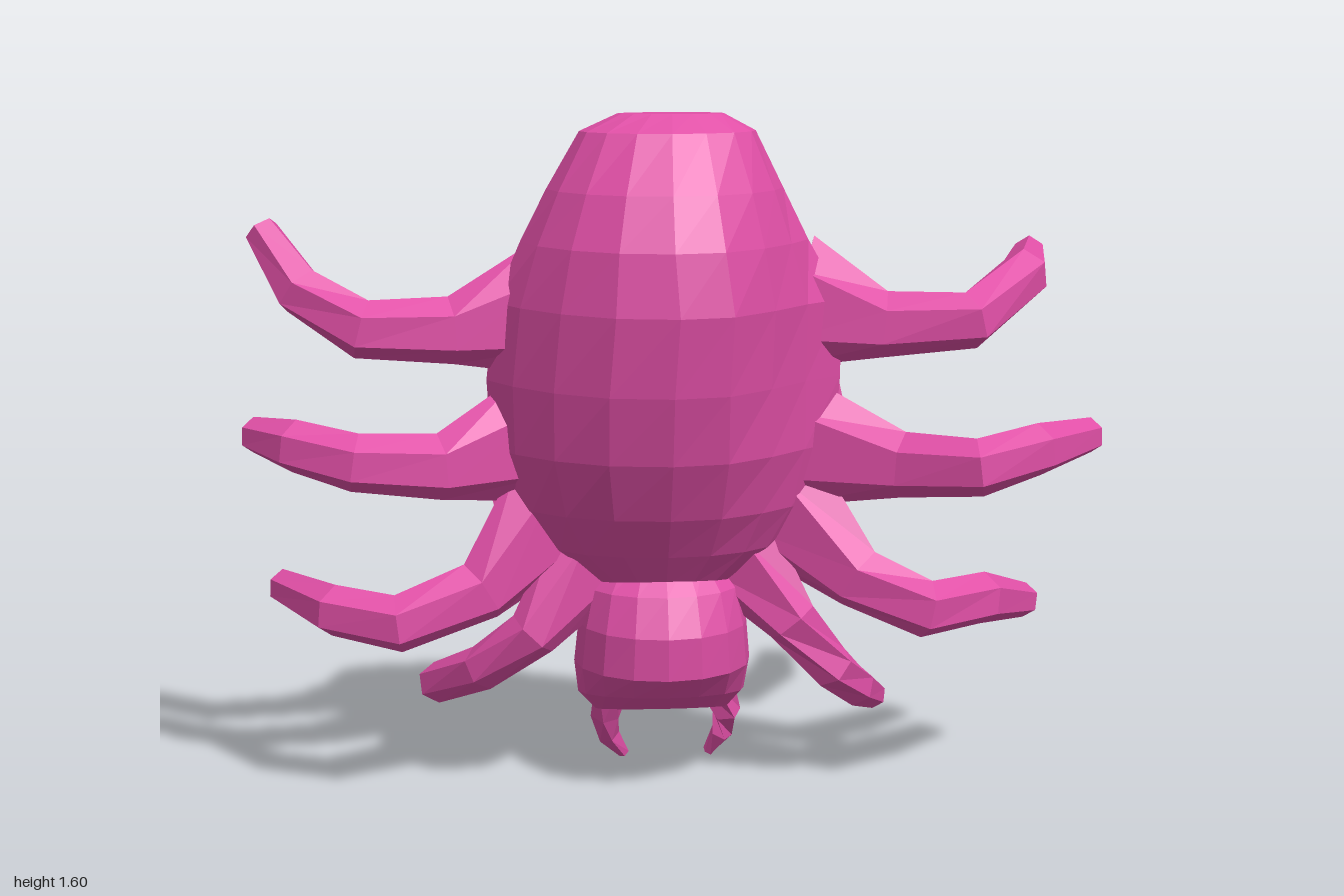
import * as THREE from 'three';

// Closed loft through rings of equal point count, flat shaded, always facing outward
function loft(rings, material, name) {
  const n = rings[0].length, tris = [];
  const tri = (a, b, c) => tris.push([a, b, c]);
  for (let i = 0; i < rings.length - 1; i++) {
    for (let j = 0; j < n; j++) {
      const k = (j + 1) % n;
      tri(rings[i][j], rings[i][k], rings[i + 1][k]);
      tri(rings[i][j], rings[i + 1][k], rings[i + 1][j]);
    }
  }
  const last = rings[rings.length - 1];
  const centre = (r) => r.reduce((s, p) => s.add(p), new THREE.Vector3()).divideScalar(n);
  const c0 = centre(rings[0]), c1 = centre(last);
  for (let j = 0; j < n; j++) {
    const k = (j + 1) % n;
    tri(c0, rings[0][k], rings[0][j]);
    tri(c1, last[j], last[k]);
  }
  let volume = 0;
  for (const [a, b, c] of tris) volume += a.dot(b.clone().cross(c));
  const points = tris.flatMap(([a, b, c]) => (volume < 0 ? [a, c, b] : [a, b, c]));
  const geometry = new THREE.BufferGeometry().setFromPoints(points);
  geometry.computeVertexNormals();
  const mesh = new THREE.Mesh(geometry, material);
  mesh.name = name;
  return mesh;
}

// Cross-section at height y: half width rx, widest at depth zm, reaching zf in front and zb behind;
// bell pinches it from an ellipse towards a hump with thin flanks, more so on the left
const BELL = [[1, 0], [0.75, 0.24], [0.53, 0.58], [0.29, 0.91], [0, 1]];
function section([y, cx, rx, zm, zf, zb, bell = 0, tilt = 0]) {
  return Array.from({ length: 16 }, (_, i) => {
    const a = (i / 16) * Math.PI * 2;
    const c = Math.cos(a), s = Math.sin(a);
    const quarter = i % 8;
    const [bu, bw] = BELL[quarter <= 4 ? quarter : 8 - quarter];
    const pinch = bell * (c > 0 ? 1 : 0.45);
    const u = THREE.MathUtils.lerp(c, bu * Math.sign(c), pinch);
    const w = THREE.MathUtils.lerp(s, bw * Math.sign(s), pinch);
    const z = zm + w * (w > 0 ? zf - zm : zm - zb);
    return new THREE.Vector3(cx + u * rx, y + tilt * (z - zm), z);
  });
}

// Limb through [x, y, z, tall radius, deep radius] stations
function limb(stations, sides, material, name) {
  const pts = stations.map((s) => new THREE.Vector3(s[0], s[1], s[2]));
  const up = new THREE.Vector3(0, 1, 0);
  const rings = pts.map((p, i) => {
    const t = pts[Math.min(i + 1, pts.length - 1)].clone().sub(pts[Math.max(i - 1, 0)]).normalize();
    const b = t.clone().cross(up).normalize();
    const n = b.clone().cross(t);
    return Array.from({ length: sides }, (_, j) => {
      const a = ((j + 0.5) / sides) * Math.PI * 2;
      return p.clone().addScaledVector(n, Math.sin(a) * stations[i][3]).addScaledVector(b, Math.cos(a) * stations[i][4]);
    });
  });
  return loft(rings, material, name);
}

export function createModel() {
  const pink = new THREE.MeshStandardMaterial({ color: 0xe04fa6, flatShading: true });
  pink.name = 'pink';
  const model = new THREE.Group();
  model.name = 'spider';

  // Abdomen
  model.add(loft([
    [1.61, -0.02, 0.12, 0.08, 0.13, 0.03],
    [1.57, -0.025, 0.2, 0.06, 0.195, -0.02],
    [1.44, -0.03, 0.27, 0.05, 0.29, -0.12, 0.2],
    [1.32, -0.03, 0.33, 0.04, 0.345, -0.18, 0.45],
    [1.18, -0.02, 0.4, 0.03, 0.365, -0.185, 0.85],
    [1.0, -0.03, 0.41, 0.02, 0.335, -0.195, 0.85],
    [0.84, -0.03, 0.4, 0.01, 0.285, -0.205, 0.7],
    [0.7, -0.03, 0.35, 0, 0.21, -0.21, 0.5],
    [0.6, -0.03, 0.27, -0.01, 0.14, -0.165, 0.2],
    [0.52, -0.03, 0.16, -0.01, 0.08, -0.08],
  ].map(section), pink, 'abdomen'));

  // Head, its underside sloping back and down
  model.add(loft([
    [0.57, -0.03, 0.13, -0.04, 0.05, -0.14],
    [0.5, -0.03, 0.18, -0.03, 0.12, -0.19],
    [0.41, -0.03, 0.2, -0.04, 0.16, -0.23],
    [0.31, -0.03, 0.21, -0.06, 0.155, -0.26],
    [0.225, -0.03, 0.2, -0.09, 0.09, -0.255, 0, 0.15],
    [0.165, -0.025, 0.16, -0.14, 0.0, -0.25, 0, 0.25],
  ].map(section), pink, 'head'));

  // Four legs on each side, from flared root to tip
  const radii = [[0.16, 0.08], [0.078, 0.068], [0.068, 0.066], [0.062, 0.058], [0.042, 0.038]];
  const legs = {
    leftRearLeg: [[0.28, 1.17, 0], [0.48, 1.12, 0.03], [0.68, 1.13, 0.05], [0.84, 1.22, -0.11], [0.89, 1.25, -0.3]],
    leftUpperLeg: [[0.28, 0.84, -0.02], [0.52, 0.8, 0.09], [0.68, 0.81, 0.19], [0.83, 0.84, 0.13], [0.98, 0.85, 0.01]],
    leftLowerLeg: [[0.24, 0.7, -0.04], [0.42, 0.53, 0.08], [0.57, 0.47, 0.15], [0.72, 0.47, 0.05], [0.86, 0.42, -0.12]],
    leftFrontLeg: [[0.14, 0.58, -0.03], [0.27, 0.42, 0.05], [0.37, 0.3, 0.02], [0.44, 0.23, -0.06], [0.51, 0.16, -0.22]],
    rightRearLeg: [[-0.3, 1.16, 0], [-0.52, 1.12, 0.05], [-0.72, 1.13, 0.09], [-0.86, 1.21, 0.02], [-0.95, 1.34, -0.07]],
    rightUpperLeg: [[-0.32, 0.86, -0.02], [-0.55, 0.81, 0.08], [-0.74, 0.83, 0.12], [-0.88, 0.86, 0.06], [-0.98, 0.87, -0.04]],
    rightLowerLeg: [[-0.27, 0.7, -0.04], [-0.46, 0.51, 0.05], [-0.65, 0.45, 0.11], [-0.8, 0.47, 0.05], [-0.93, 0.49, -0.12]],
    rightFrontLeg: [[-0.19, 0.58, -0.03], [-0.34, 0.4, 0.03], [-0.46, 0.3, -0.04], [-0.57, 0.23, -0.17], [-0.58, 0.18, -0.36]],
  };
  for (const [name, path] of Object.entries(legs)) {
    const slim = name.includes('Front') ? 0.8 : 1;
    model.add(limb(path.map((p, i) => [...p, ...radii[i].map((r) => r * slim)]), 6, pink, name));
  }

  // Thin skin joining the leg roots along each flank: height, reach, depth of its outer edge
  const flank = [[1.4, 0.22, -0.01], [1.22, 0.42, -0.01], [1, 0.4, -0.05], [0.82, 0.44, -0.04], [0.68, 0.4, -0.02], [0.57, 0.22, -0.03]];
  for (const side of [-1, 1]) {
    model.add(loft(flank.map(([y, x, z]) => [
      [0.15, 0.04], [x, z + 0.025], [x, z - 0.025], [0.15, -0.11],
    ].map(([px, pz]) => new THREE.Vector3(side * px - 0.02, y, pz))), pink, side > 0 ? 'leftFlank' : 'rightFlank'));
  }

  // Curved fangs
  for (const side of [-1, 1]) {
    model.add(limb([
      [side * 0.12 - 0.02, 0.24, -0.17, 0.05, 0.05],
      [side * 0.15 - 0.01, 0.13, -0.2, 0.036, 0.036],
      [side * 0.14 - 0.01, 0.07, -0.23, 0.028, 0.028],
      [side * 0.105 - 0.005, 0.015, -0.255, 0.014, 0.014],
    ], 5, pink, side > 0 ? 'leftFang' : 'rightFang'));
  }
  return model;
}
